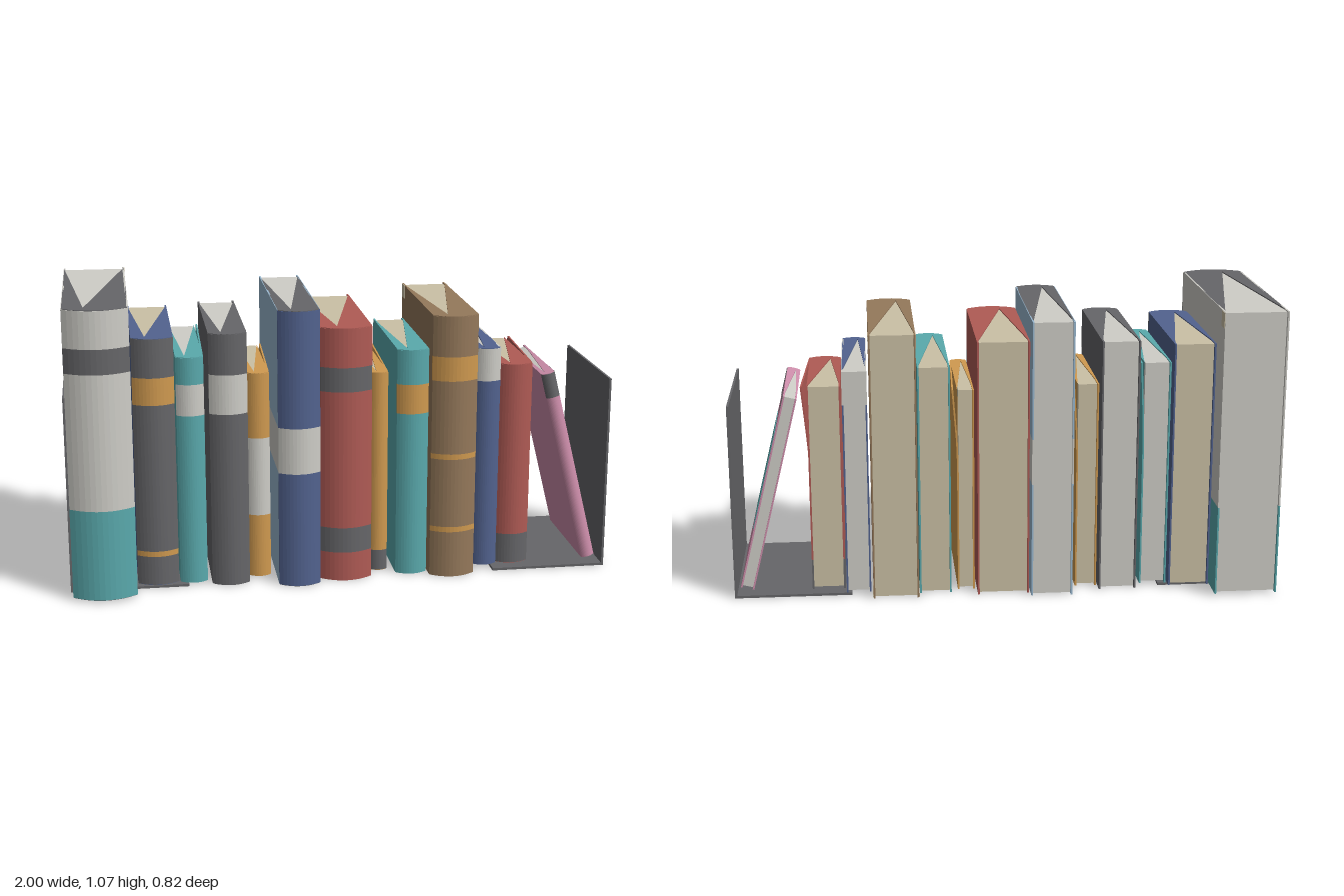
import * as THREE from 'three';

const paint = (name, hex) => {
  const m = new THREE.MeshStandardMaterial({ color: hex });
  m.name = name;
  return m;
};
const M = {
  dark: paint('charcoal', 0x666669), white: paint('off white', 0xcfcec8),
  teal: paint('teal', 0x5aaaad), orange: paint('orange', 0xd09a50),
  blue: paint('navy blue', 0x52638f), sky: paint('pale blue', 0x9bbad2),
  red: paint('brick red', 0xb05b55), brown: paint('brown', 0x95795b),
  pink: paint('pink', 0xcf8fac), cream: paint('cream', 0xcbc1a6),
};

function add(group, name, geometry, material) {
  const mesh = new THREE.Mesh(geometry, M[material]);
  mesh.name = name;
  group.add(mesh);
  return mesh;
}

// Box given by its limits
function box(group, name, material, [x0, x1], [y0, y1], [z0, z1]) {
  const g = new THREE.BoxGeometry(x1 - x0, y1 - y0, z1 - z0);
  g.translate((x0 + x1) / 2, (y0 + y1) / 2, (z0 + z1) / 2);
  return add(group, name, g, material);
}

// Upright prism from a plan outline of [x, z] points
function prism(group, name, material, points, y0, y1) {
  const shape = new THREE.Shape(points.map(([x, z]) => new THREE.Vector2(x, -z)));
  const g = new THREE.ExtrudeGeometry(shape, { depth: y1 - y0, bevelEnabled: false });
  g.rotateX(-Math.PI / 2).translate(0, y0, 0);
  return add(group, name, g, material);
}

// Rounded spine line from left to right, bulging to zf
function arc(x0, x1, ze, zf, n = 12) {
  const pts = [];
  for (let i = 0; i <= n; i++) {
    const t = i / n;
    pts.push([x0 + (x1 - x0) * t, ze + (zf - ze) * (1 - (2 * t - 1) ** 2)]);
  }
  return pts;
}

// Each band list holds [top height, colour], going up from the bottom
function book({ x: [x0, x1], h, y0 = 0, z: [zb, zf], core, pages, spine, sides, curl = 0, corners = [], labels = [] }) {
  const g = new THREE.Group();
  g.name = 'book';
  const w = x1 - x0, ze = zf - 0.19 * w, t = 0.006, e = 0.002;

  // Core and folded inner cover, seen at the top and bottom
  prism(g, 'coverCore', core, [
    [x0 + e, zb + 0.015], ...arc(x0 + e, x1 - e, ze - e, zf - e),
    [x1 - e, zb + 0.015], [x0 + w * 0.33, ze - 0.012],
  ], y0, h);

  // Page block
  box(g, 'pages', pages, [x0 + t, x1 - t], [y0 + 0.004, h - 0.004], [zb + 0.014, ze - 0.008]);

  // Coloured spine bands
  let y = y0 + e;
  for (const [top, colour] of spine) {
    const yt = Math.min(top, h - e);
    prism(g, 'spineBand', colour, [...arc(x0, x1, ze, zf), [x1, ze - 0.012], [x0, ze - 0.012]], y, yt);
    y = yt;
  }

  // Cover boards, with an optional outward curl of the right top back corner
  for (const s of [-1, 1]) {
    let yb = y0;
    for (const [top, colour] of sides) {
      const yt = Math.min(top, h);
      const geo = new THREE.BoxGeometry(t, yt - yb, ze - 0.012 - zb, 1, 8, 4);
      geo.translate(s < 0 ? x0 + t / 2 : x1 - t / 2, (yb + yt) / 2, (ze - 0.012 + zb) / 2);
      if (s > 0 && curl) {
        const p = geo.attributes.position;
        for (let i = 0; i < p.count; i++) {
          const up = Math.max(0, (p.getY(i) / h - 0.7) / 0.3);
          p.setX(i, p.getX(i) + curl * up * (ze - p.getZ(i)) / (ze - zb));
        }
        geo.computeVertexNormals();
      }
      add(g, s < 0 ? 'leftBoard' : 'rightBoard', geo, colour);
      yb = yt;
    }
  }

  // Corner patches and labels as thin plates on the boards
  const plate = (name, side, colour, ys, zs) => box(g, name, colour,
    side > 0 ? [x1 - 0.001, x1 + 0.002] : [x0 - 0.002, x0 + 0.001], ys, zs);
  for (const [side, colour, ys, zs] of corners) plate('cornerPatch', side, colour, ys, zs);
  for (const [side, colour, ys, zs] of labels) plate('coverLabel', side, colour, ys, zs);
  return g;
}

const brownCorners = [-1, 1].flatMap((s) => [
  [s, 'cream', [0.94, 0.99], [-0.32, -0.27]],
  [s, 'cream', [0, 0.05], [-0.32, -0.27]],
]);

const BOOKS = [
  { x: [-0.99, -0.76], y0: 0.01, h: 1.067, z: [-0.41, 0.407], core: 'dark', pages: 'white',
    spine: [[0.345, 'teal'], [0.84, 'white'], [0.93, 'dark'], [2, 'white']],
    sides: [[0.345, 'teal'], [2, 'white']],
    corners: [[1, 'cream', [1.01, 1.065], [-0.408, -0.36]]] },
  { x: [-0.755, -0.605], y0: 0.01, h: 0.933, z: [-0.31, 0.28], core: 'blue', pages: 'cream',
    spine: [[0.12, 'dark'], [0.14, 'orange'], [0.69, 'dark'], [0.79, 'orange'], [2, 'dark']], sides: [[2, 'blue']] },
  { x: [-0.6, -0.5], y0: 0.01, h: 0.86, z: [-0.28, 0.275], core: 'teal', pages: 'white', curl: 0.012,
    spine: [[0.645, 'teal'], [0.76, 'white'], [2, 'teal']], sides: [[2, 'teal']] },
  { x: [-0.483, -0.345], h: 0.945, z: [-0.3, 0.293], core: 'dark', pages: 'white',
    spine: [[0.65, 'dark'], [0.795, 'white'], [2, 'dark']], sides: [[2, 'dark']] },
  { x: [-0.34, -0.26], h: 0.78, z: [-0.26, 0.215], core: 'orange', pages: 'cream', curl: 0.015,
    spine: [[0.24, 'orange'], [0.535, 'white'], [2, 'orange']], sides: [[2, 'orange']] },
  { x: [-0.24, -0.088], h: 1.03, z: [-0.345, 0.34], core: 'dark', pages: 'white',
    spine: [[0.43, 'blue'], [0.6, 'white'], [2, 'blue']],
    sides: [[0.43, 'sky'], [0.6, 'white'], [2, 'sky']] },
  { x: [-0.082, 0.107], h: 0.955, z: [-0.315, 0.305], core: 'red', pages: 'cream',
    spine: [[0.11, 'red'], [0.205, 'dark'], [0.72, 'red'], [0.81, 'dark'], [2, 'red']], sides: [[2, 'red']] },
  { x: [0.115, 0.178], h: 0.767, z: [-0.255, 0.215], core: 'orange', pages: 'cream', curl: 0.018,
    spine: [[0.08, 'dark'], [2, 'orange']], sides: [[2, 'orange']] },
  { x: [0.203, 0.32], h: 0.86, z: [-0.285, 0.27], core: 'teal', pages: 'cream',
    spine: [[0.62, 'teal'], [0.73, 'orange'], [2, 'teal']], sides: [[2, 'teal']] },
  { x: [0.325, 0.492], h: 0.99, z: [-0.325, 0.32], core: 'brown', pages: 'cream',
    spine: [[0.175, 'brown'], [0.195, 'orange'], [0.455, 'brown'], [0.475, 'orange'],
      [0.75, 'brown'], [0.84, 'orange'], [2, 'brown']],
    sides: [[2, 'brown']], corners: brownCorners },
  { x: [0.5, 0.59], y0: 0.015, h: 0.853, z: [-0.293, 0.255], core: 'blue', pages: 'white',
    spine: [[0.73, 'blue'], [2, 'white']], sides: [[0.73, 'blue'], [2, 'white']] },
  { x: [0.595, 0.717], y0: 0.01, h: 0.785, z: [-0.235, 0.235], core: 'red', pages: 'cream', curl: 0.022,
    spine: [[0.125, 'dark'], [2, 'red']], sides: [[0.125, 'dark'], [2, 'red']],
    labels: [[1, 'white', [0.32, 0.55], [-0.1, 0.13]]] },
];

// Pink book in its own frame, before it leans
const LEANING = {
  x: [0, 0.05], h: 0.75, z: [-0.225, 0.225], core: 'pink', pages: 'white',
  spine: [[0.655, 'pink'], [2, 'dark']], sides: [[2, 'pink']],
  corners: [[1, 'dark', [0.655, 0.748], [0.13, 0.203]], [1, 'dark', [0.69, 0.748], [-0.224, -0.19]]],
  labels: [[1, 'teal', [0.21, 0.59], [-0.16, 0.14]]],
};

export function createModel() {
  const model = new THREE.Group();
  model.name = 'bookRow';

  BOOKS.forEach((b) => model.add(book(b)));

  const leaning = book(LEANING);
  leaning.name = 'leaningBook';
  leaning.rotation.z = 0.244;
  leaning.position.set(0.933, 0.01, 0);
  model.add(leaning);

  // L-shaped bookends, mirrored
  for (const s of [-1, 1]) {
    const end = new THREE.Group();
    end.name = s < 0 ? 'rightBookend' : 'leftBookend';
    const span = (a, b) => (s > 0 ? [a, b] : [-b, -a]);
    box(end, 'bookendPlate', 'dark', span(0.992, 1), [0, 0.73], [-0.28, 0.28]);
    box(end, 'bookendBase', 'dark', span(0.57, 0.992), [0, 0.009], [-0.28, 0.28]);
    model.add(end);
  }
  return model;
}
